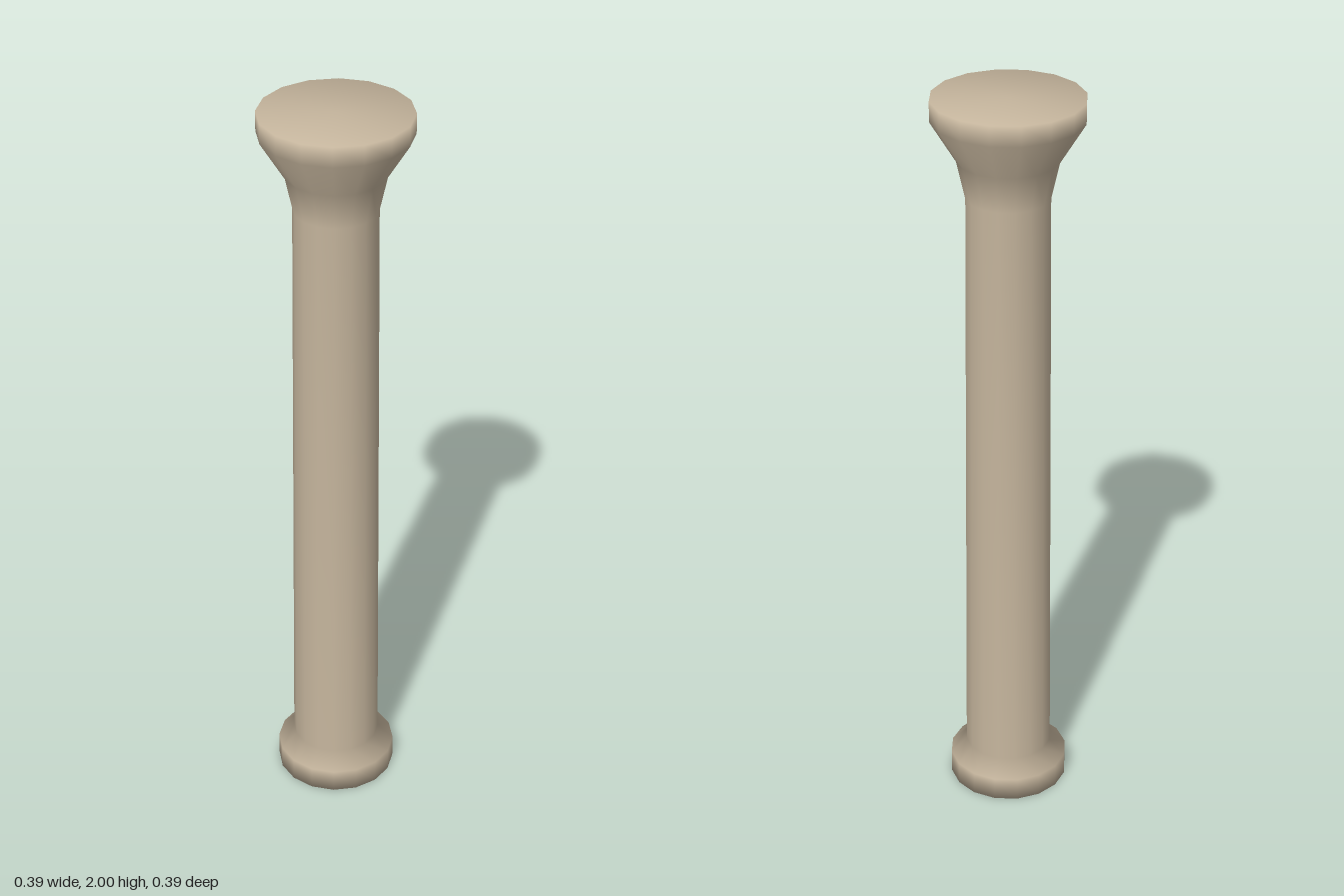
import * as THREE from 'three';
import { mergeVertices } from 'three/addons/utils/BufferGeometryUtils.js';

export function createModel() {
  const stone = new THREE.MeshStandardMaterial({ color: 0xc4b49c });
  stone.name = 'warm stone';

  // Radius and height pairs, from the closed underside to the closed top
  const profile = [
    [0, 0], [0.161, 0], [0.161, 0.064],   // foot
    [0.118, 0.106], [0.108, 1.74],        // tapering shaft
    [0.13, 1.84], [0.195, 1.947],         // flaring capital
    [0.195, 2], [0, 2],
  ].map(([r, y]) => new THREE.Vector2(r, y));

  // Weld the seam, poles and rims so the shading is smooth throughout
  let geometry = new THREE.LatheGeometry(profile, 16);
  geometry.deleteAttribute('uv');
  geometry.deleteAttribute('normal');
  geometry = mergeVertices(geometry, 1e-4);
  geometry.computeVertexNormals();

  const column = new THREE.Mesh(geometry, stone);
  column.name = 'column';

  const group = new THREE.Group();
  group.name = 'pillar';
  group.add(column);
  return group;
}
